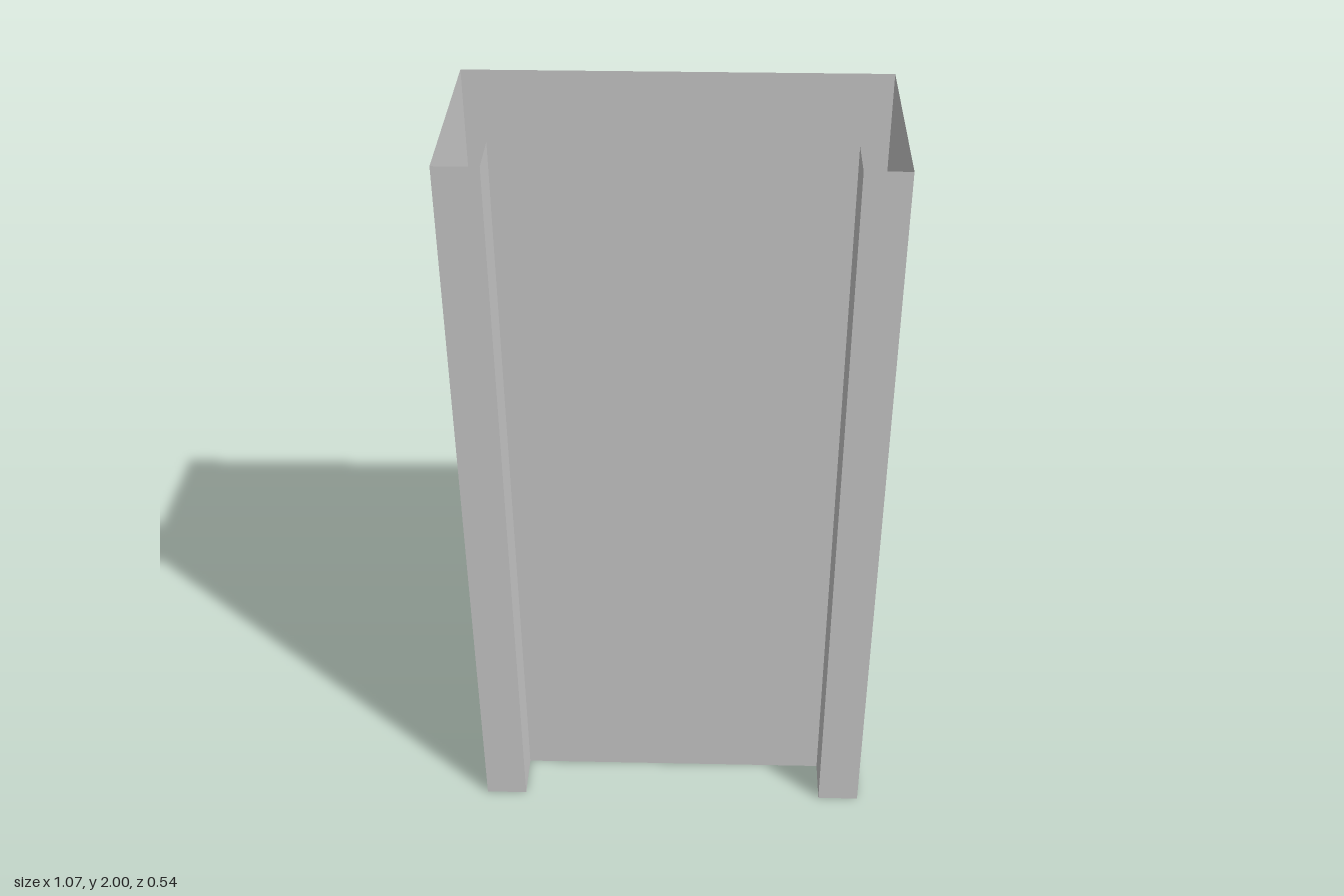
import * as THREE from 'three';

const HEIGHT = 2;
const HALF_W = 0.537;   // outer half width
const HALF_D = 0.268;   // outer half depth
const INNER_W = 0.425;  // half width of the recess
const RECESS_Z = 0.142; // depth position of the recessed panel

export function createModel() {
  const group = new THREE.Group();
  group.name = 'doorCasing';
  const material = new THREE.MeshStandardMaterial({ color: 0xcccccc, side: THREE.DoubleSide });

  // Upright sheet between two plan points; its face looks to the right of the path a -> b seen from above
  function addPanel(name, [ax, az], [bx, bz]) {
    const dx = bx - ax, dz = bz - az;
    const mesh = new THREE.Mesh(new THREE.PlaneGeometry(Math.hypot(dx, dz), HEIGHT), material);
    mesh.name = name;
    mesh.position.set((ax + bx) / 2, HEIGHT / 2, (az + bz) / 2);
    mesh.rotation.y = Math.atan2(-dz, dx);
    group.add(mesh);
  }

  // Plan outline, open at top and bottom, running so that the faces look outward
  const outline = [
    ['rightFrontStrip', [-HALF_W, HALF_D]],
    ['rightReveal', [-INNER_W, HALF_D]],
    ['recessedPanel', [-INNER_W, RECESS_Z]],
    ['leftReveal', [INNER_W, RECESS_Z]],
    ['leftFrontStrip', [INNER_W, HALF_D]],
    ['leftSide', [HALF_W, HALF_D]],
    ['backPanel', [HALF_W, -HALF_D]],
    ['rightSide', [-HALF_W, -HALF_D]],
  ];
  outline.forEach(([name, start], i) => {
    addPanel(name, start, outline[(i + 1) % outline.length][1]);
  });

  return group;
}
